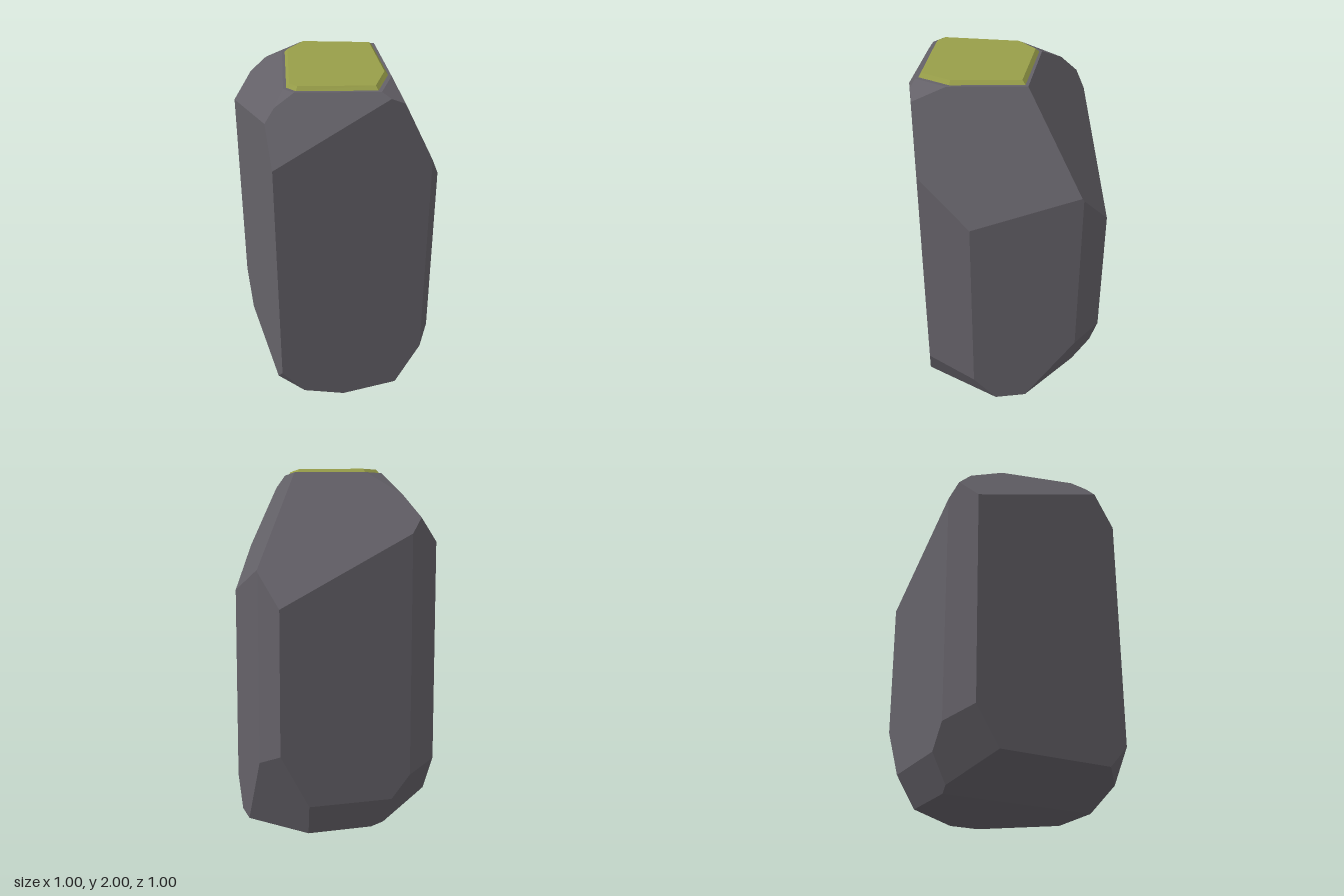
import * as THREE from 'three';

const V = (x, y, z) => new THREE.Vector3(x, y, z);
const TOP = 1.98; // height of the stone's flat top

// Flat-faced geometry from convex polygons listed counter-clockwise
function fromPolygons(polygons) {
  const pos = [];
  for (const p of polygons)
    for (let i = 1; i < p.length - 1; i++)
      for (const v of [p[0], p[i], p[i + 1]]) pos.push(v.x, v.y, v.z);
  const g = new THREE.BufferGeometry();
  g.setAttribute('position', new THREE.Float32BufferAttribute(pos, 3));
  g.computeVertexNormals();
  return g;
}

// Convex stone: keep what lies behind every cutting plane
function cutStone(planes) {
  const corners = planes.map(() => []);
  const n = planes.length, p = V(0, 0, 0);
  for (let i = 0; i < n; i++) for (let j = i + 1; j < n; j++) for (let k = j + 1; k < n; k++) {
    const [a, b, c] = [planes[i], planes[j], planes[k]];
    const bc = b.normal.clone().cross(c.normal);
    const det = a.normal.dot(bc);
    if (Math.abs(det) < 1e-5) continue;
    p.copy(bc).multiplyScalar(-a.constant)
      .addScaledVector(c.normal.clone().cross(a.normal), -b.constant)
      .addScaledVector(a.normal.clone().cross(b.normal), -c.constant)
      .divideScalar(det);
    if (planes.some(q => q.distanceToPoint(p) > 1e-5)) continue;
    for (const m of [i, j, k])
      if (!corners[m].some(q => q.distanceTo(p) < 1e-4)) corners[m].push(p.clone());
  }
  const faces = corners.map((pts, m) => {
    if (pts.length < 3) return [];
    // order the corners around the face normal
    const mid = pts.reduce((s, q) => s.add(q), V(0, 0, 0)).divideScalar(pts.length);
    const u = pts[0].clone().sub(mid).normalize();
    const w = planes[m].normal.clone().cross(u);
    const angle = q => { const d = q.clone().sub(mid); return Math.atan2(d.dot(w), d.dot(u)); };
    return pts.sort((s, t) => angle(s) - angle(t));
  });
  return fromPolygons(faces.filter(f => f.length > 2));
}

// Plane through three points, facing away from the stone's middle
function through(a, b, c) {
  const pl = new THREE.Plane().setFromCoplanarPoints(V(...a), V(...b), V(...c));
  return pl.distanceToPoint(V(0, 1, 0)) > 0 ? pl.negate() : pl;
}
const wall = (x1, z1, x2, z2) => through([x1, 0, z1], [x2, 0, z2], [x1, 1, z1]);

export function createModel() {
  const stoneGrey = new THREE.MeshStandardMaterial({ color: 0x656269 });
  const mossGreen = new THREE.MeshStandardMaterial({ color: 0x989e49 });

  const planes = [
    // upright sides
    wall(-0.5, 0.5, 0.35, 0.5),
    wall(0.35, 0.5, 0.5, 0.25),
    wall(0.5, 0.25, 0.5, -0.35),
    wall(0.5, -0.35, 0.42, -0.5),
    wall(0.42, -0.5, -0.32, -0.5),
    wall(-0.32, -0.5, -0.5, -0.4),
    wall(-0.5, -0.4, -0.5, 0.5),
    // flat top and base
    through([0, TOP, 0], [1, TOP, 0], [0, TOP, 1]),
    through([0, 0, 0], [1, 0, 0], [0, 0, 1]),
    // upper slopes: right, back, left, front
    through([0.225, TOP, -0.09], [0.175, TOP, 0.32], [0.5, 1.305, 0.25]),
    through([-0.15, TOP, -0.22], [0.225, TOP, -0.09], [0.42, 1.26, -0.5]),
    through([-0.275, TOP, -0.13], [-0.38, TOP, 0.295], [-0.38, 1.735, -0.465]),
    through([-0.34, TOP, 0.35], [0.07, TOP, 0.47], [-0.5, 1.65, 0.5]),
    // small upper corner facets
    through([-0.275, TOP, -0.13], [-0.15, TOP, -0.22], [-0.31, 1.857, -0.36]),
    through([-0.34, TOP, 0.35], [-0.38, TOP, 0.295], [-0.44, 1.918, 0.36]),
    through([0.07, TOP, 0.47], [0.175, TOP, 0.32], [0.185, 1.912, 0.5]),
    // lower cuts
    through([-0.13, 0, 0.5], [-0.13, 0, -0.4], [-0.5, 0.155, 0]),
    through([0.2, 0, 0.5], [0.5, 0, 0.12], [0.35, 0.255, 0.5]),
    through([0.5, 0, -0.06], [0.5, 0.41, -0.35], [0.42, 0.475, -0.5]),
    through([0, 0, -0.4], [0.2, 0, -0.4], [0, 0.185, -0.5]),
    through([-0.5, 0.155, -0.267], [-0.5, 0.37, -0.4], [-0.32, 0.315, -0.5]),
    through([-0.5, 0.28, 0.5], [-0.37, 0.1, 0.5], [-0.5, 0.155, 0.39]),
  ];
  const stone = new THREE.Mesh(cutStone(planes), stoneGrey);
  stone.name = 'stone';

  // bevelled green cap on the flat top
  const loop = (pts, y) => pts.map(([x, z]) => V(x, y, z));
  const low = loop([[-0.15, -0.205], [-0.262, -0.125], [-0.362, 0.287], [-0.327, 0.337],
    [0.058, 0.452], [0.162, 0.303], [0.207, -0.078]], TOP);
  const high = loop([[-0.146, -0.184], [-0.25, -0.11], [-0.346, 0.285], [-0.316, 0.326],
    [0.05, 0.434], [0.145, 0.296], [0.188, -0.065]], 2);
  const sides = low.map((p, i) => {
    const j = (i + 1) % low.length;
    return [p, low[j], high[j], high[i]];
  });
  const cap = new THREE.Mesh(fromPolygons([high, ...sides]), mossGreen);
  cap.name = 'mossCap';

  const group = new THREE.Group();
  group.name = 'standingStone';
  group.add(stone, cap);
  return group;
}
